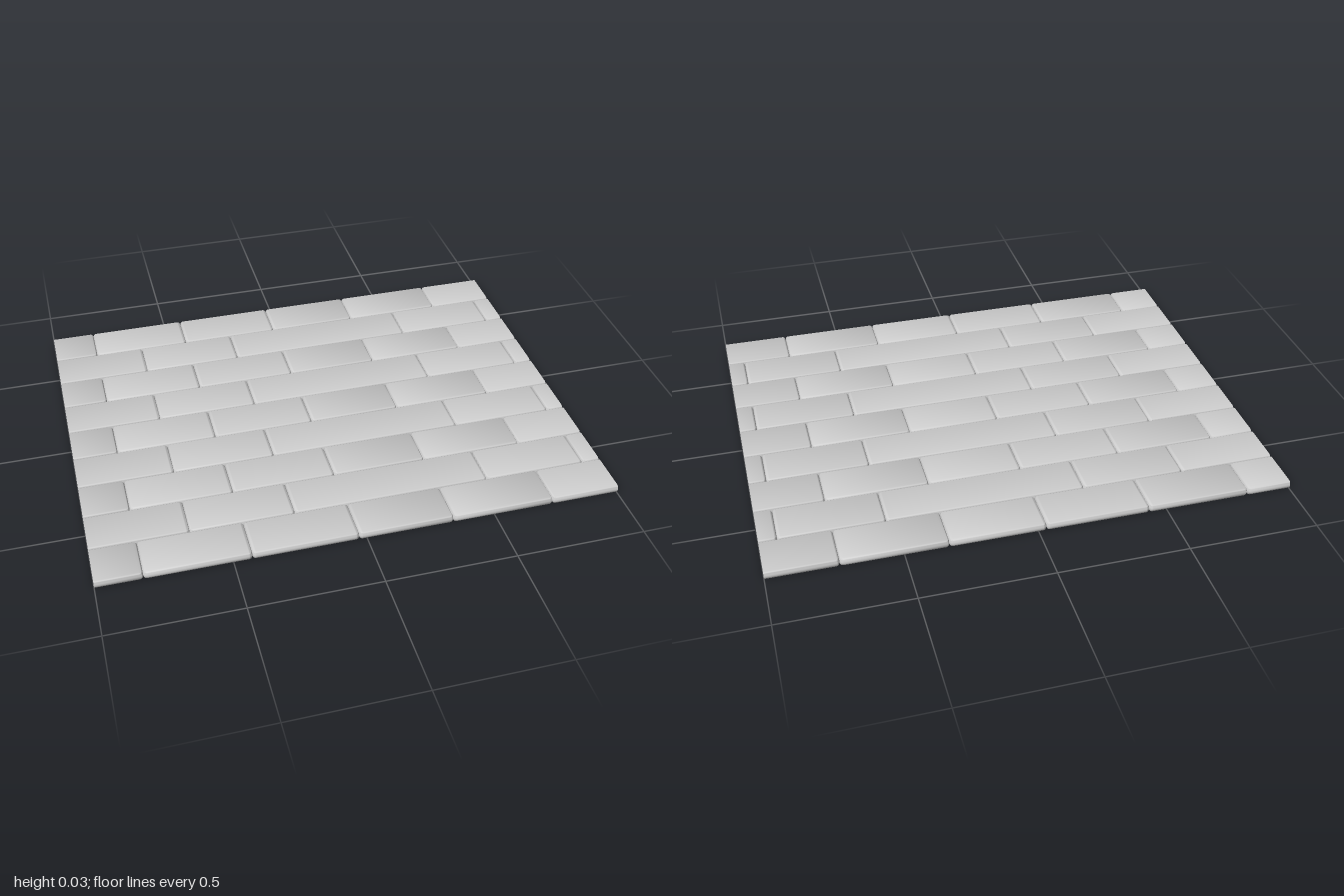
import * as THREE from 'three';
import { RoundedBoxGeometry } from 'three/addons/geometries/RoundedBoxGeometry.js';
import { toCreasedNormals } from 'three/addons/utils/BufferGeometryUtils.js';

const HEIGHT = 0.034, RADIUS = 0.013, ROWS = 9, DEPTH = 1.556;
const PITCH = DEPTH / ROWS;

// Seam positions along x for the two alternating courses
const COURSES = [
  [-1, -0.825, -0.43, -0.03, 0.335, 0.733, 1],
  [-1, -0.628, -0.23, 0.533, 0.932, 1],
];

// Rounded brick from x0 to x1; the ends on the panel border are cut flat
function brickGeometry(x0, x1) {
  const a = x0 <= -1 ? x0 - RADIUS : x0;
  const b = x1 >= 1 ? x1 + RADIUS : x1;
  const geo = new RoundedBoxGeometry(b - a, HEIGHT, PITCH, 3, RADIUS);
  geo.translate((a + b) / 2, HEIGHT / 2, 0);
  const pos = geo.attributes.position;
  for (let i = 0; i < pos.count; i++) {
    pos.setX(i, THREE.MathUtils.clamp(pos.getX(i), -1, 1));
  }
  return toCreasedNormals(geo, 0.7);
}

export function createModel() {
  const model = new THREE.Group();
  model.name = 'brickPanel';
  const material = new THREE.MeshStandardMaterial({ color: 0xcccccc });

  // One set of brick shapes per course type, shared by its rows
  const shapes = COURSES.map((seams) =>
    seams.slice(1).map((x, i) => brickGeometry(seams[i], x)));

  for (let r = 0; r < ROWS; r++) {
    const course = new THREE.Group();
    course.name = `brickCourse${r + 1}`;
    course.position.z = (r + 0.5) * PITCH - DEPTH / 2;
    shapes[r % 2].forEach((geo, i) => {
      const brick = new THREE.Mesh(geo, material);
      brick.name = `brick${i + 1}`;
      course.add(brick);
    });
    model.add(course);
  }
  return model;
}
